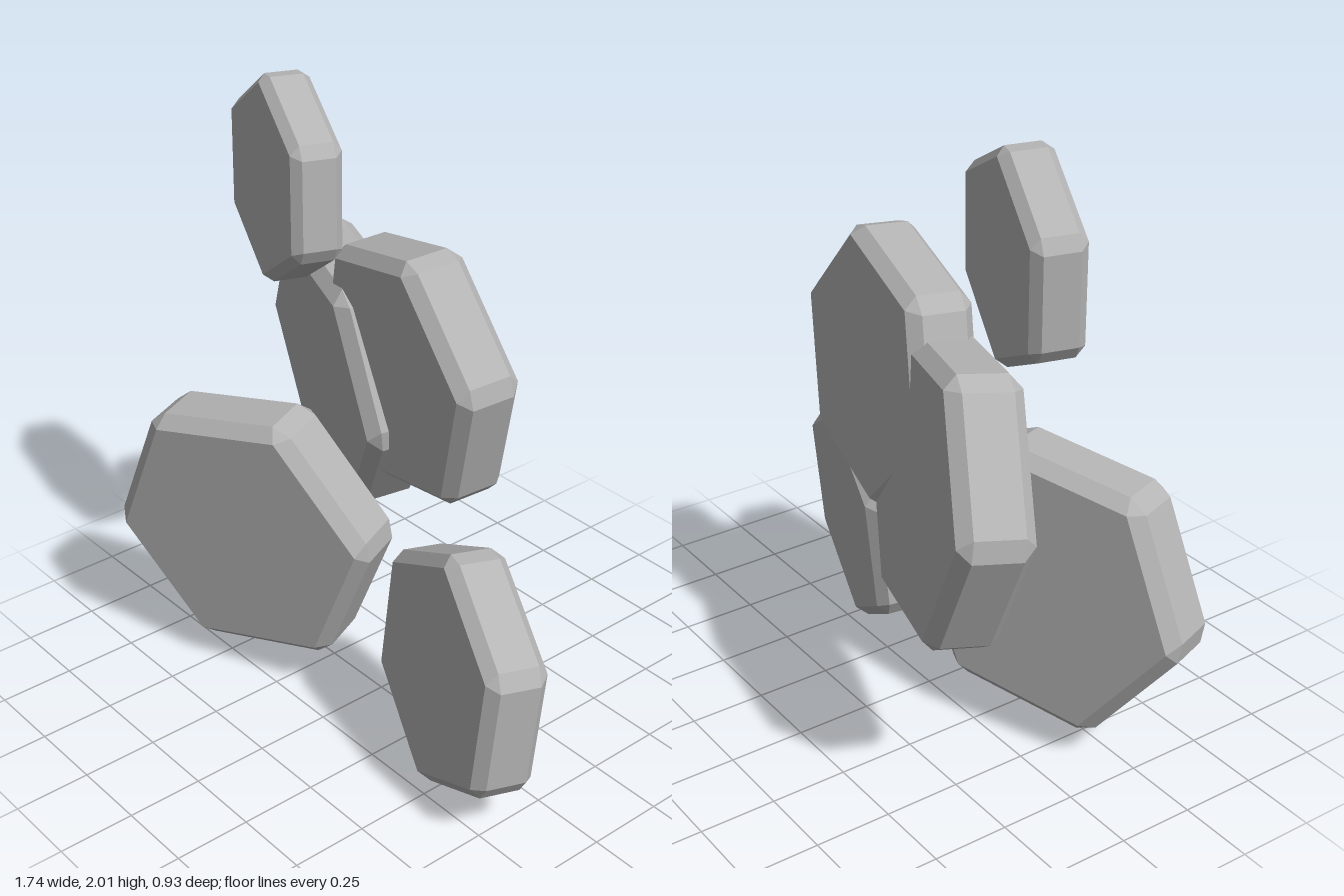
import * as THREE from 'three';
import { ConvexGeometry } from 'three/addons/geometries/ConvexGeometry.js';

// Hexagonal slab along z with every edge chamfered
function slabGeometry(radius) {
  const half = radius * 0.24;
  const bevel = radius * 0.083;
  const corner = (i, r) => {
    const a = (i * Math.PI) / 3;
    return new THREE.Vector3(r * Math.cos(a), r * Math.sin(a), 0);
  };
  const points = [];
  for (let i = 0; i < 6; i++) {
    const v = corner(i, radius);
    for (const side of [-1, 1]) {
      // cap corner
      points.push(corner(i, radius - bevel * 1.155).setZ(side * half));
      // rim corner, cut back along both neighbouring edges
      for (const step of [-1, 1]) {
        const p = v.clone().lerp(corner(i + step, radius), bevel / radius);
        points.push(p.setZ(side * (half - bevel)));
      }
    }
  }
  return new ConvexGeometry(points);
}

// Orientation: z along the face normal, x kept level, then a spin about the normal
function faceRotation(normal, spinDegrees) {
  const n = new THREE.Vector3(...normal).normalize();
  const u = new THREE.Vector3(1, 0, 0).addScaledVector(n, -n.x).normalize();
  const w = new THREE.Vector3().crossVectors(n, u);
  const q = new THREE.Quaternion().setFromRotationMatrix(new THREE.Matrix4().makeBasis(u, w, n));
  const spin = new THREE.Quaternion().setFromAxisAngle(
    new THREE.Vector3(0, 0, 1), THREE.MathUtils.degToRad(spinDegrees));
  return q.multiply(spin);
}

export function createModel() {
  const group = new THREE.Group();
  group.name = 'hexagonSlabs';
  const stone = new THREE.MeshStandardMaterial({ color: 0xb4b4b4 });
  stone.name = 'stoneGrey';

  const slabs = [
    { name: 'topSlab', radius: 0.341, at: [-0.468, 1.675, -0.008], normal: [-0.32, 0.03, 1], spin: 33 },
    { name: 'middleLeftSlab', radius: 0.48, at: [-0.414, 0.99, -0.22], normal: [-0.343, -0.116, 1], spin: -3.5 },
    { name: 'middleRightSlab', radius: 0.445, at: [0.035, 1.183, -0.113], normal: [-0.16, -0.07, 1], spin: 14 },
    { name: 'lowerLeftSlab', radius: 0.491, at: [-0.411, 0.534, 0.198], normal: [0.4, -0.06, 1], spin: 7 },
    { name: 'lowerRightSlab', radius: 0.42, at: [0.49, 0.405, 0.101], normal: [-0.3, 0.09, 1], spin: 26.5 },
  ];
  for (const s of slabs) {
    const mesh = new THREE.Mesh(slabGeometry(s.radius), stone);
    mesh.name = s.name;
    mesh.position.set(...s.at);
    mesh.quaternion.copy(faceRotation(s.normal, s.spin));
    group.add(mesh);
  }
  return group;
}
